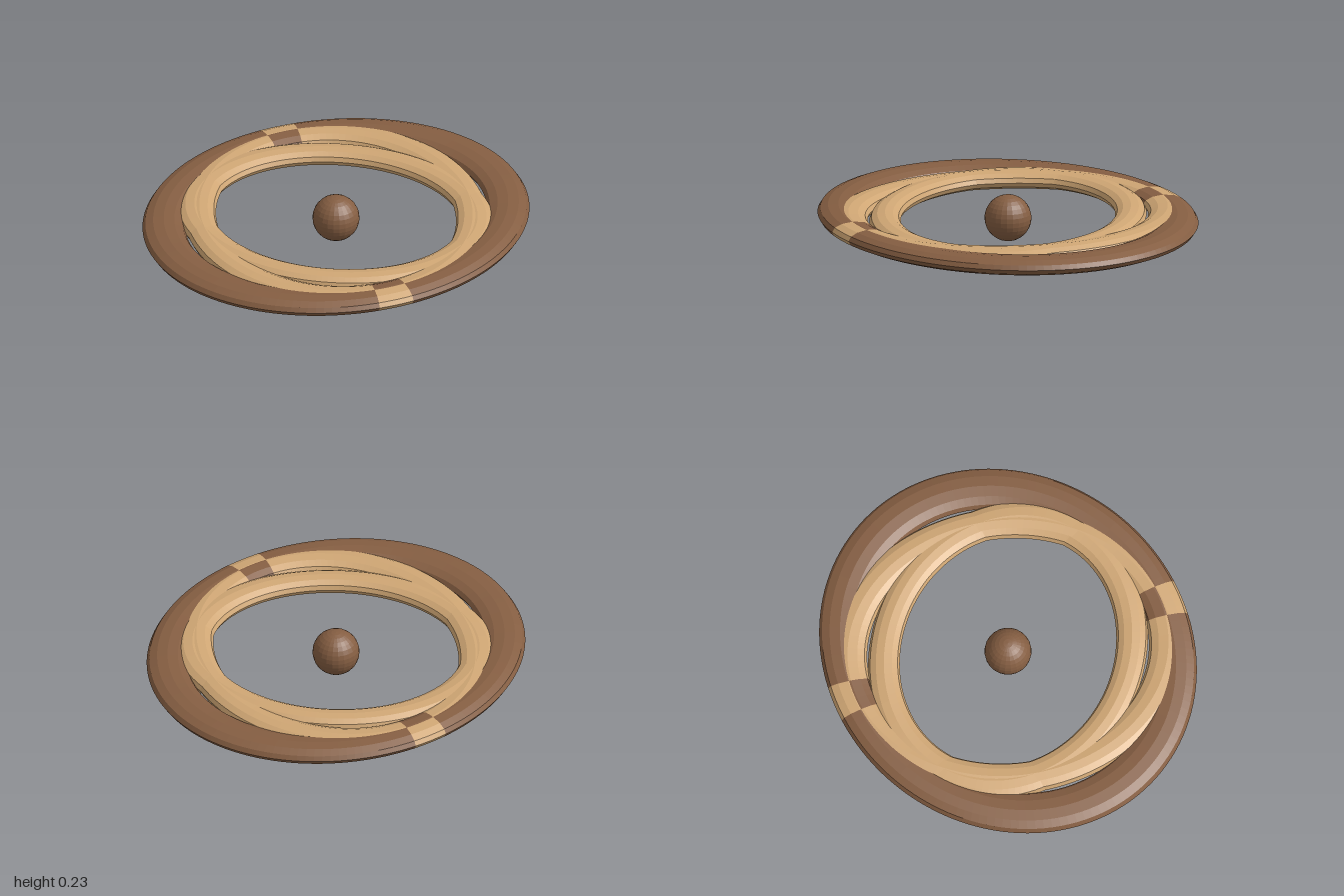
import * as THREE from 'three';

const DEG = Math.PI / 180;
const CENTER_Y = 0.117;

// Arc of an elliptical ring with a flattened oval section, between two headings in degrees.
// a, b: half axes of the centre line; rot: heading of the long axis; k: half width / radius.
function ringArc({ a, b, rot, k, h }, from, to) {
  const sides = 12;
  const steps = Math.max(4, Math.ceil((to - from) / 2.5));
  const pos = [];
  const index = [];
  for (let i = 0; i <= steps; i++) {
    const phi = (from + ((to - from) * i) / steps) * DEG;
    const psi = phi - rot * DEG;
    const r = 1 / Math.hypot(Math.cos(psi) / a, Math.sin(psi) / b);
    for (let j = 0; j <= sides; j++) {
      const u = (j / sides) * Math.PI * 2;
      const d = r * (1 + k * Math.cos(u));
      pos.push(d * Math.cos(phi), h * Math.sin(u), d * Math.sin(phi));
    }
  }
  const row = sides + 1;
  for (let i = 0; i < steps; i++) {
    for (let j = 0; j < sides; j++) {
      const p = i * row + j;
      const q = p + row;
      index.push(p, p + 1, q, p + 1, q + 1, q);
    }
  }
  const geo = new THREE.BufferGeometry();
  geo.setAttribute('position', new THREE.Float32BufferAttribute(pos, 3));
  geo.setIndex(index);
  geo.computeVertexNormals();
  return geo;
}

export function createModel() {
  const group = new THREE.Group();
  const brown = new THREE.MeshStandardMaterial({ color: 0x855e42, flatShading: true });
  brown.name = 'dark wood';
  const tan = new THREE.MeshStandardMaterial({ color: 0xcfa674, flatShading: true });
  tan.name = 'light wood';

  const add = (name, geo, material, parent = group) => {
    const mesh = new THREE.Mesh(geo, material);
    mesh.name = name;
    parent.add(mesh);
  };

  // Ring with two opposite patches in the contrasting colour
  const PATCH = [-76.3, -64.8];
  const patchedRing = (name, spec, main, accent) => {
    const ring = new THREE.Group();
    ring.name = name;
    ring.position.y = CENTER_Y + 0.003;
    for (const turn of [0, 180]) {
      add(name + 'Patch', ringArc(spec, PATCH[0] + turn, PATCH[1] + turn), accent, ring);
      add(name + 'Arc', ringArc(spec, PATCH[1] + turn, PATCH[0] + 180 + turn), main, ring);
    }
    group.add(ring);
  };

  // Three nested oval rings, each turned a further 60 degrees
  patchedRing('outerRing', { a: 0.89, b: 0.8, rot: 0, k: 0.1236, h: 0.045 }, brown, tan);
  patchedRing('middleRing', { a: 0.8, b: 0.675, rot: -61, k: 0.122, h: 0.0455 }, tan, brown);
  const inner = new THREE.Group();
  inner.name = 'innerRing';
  inner.position.y = CENTER_Y + 0.003;
  add('innerRingBody', ringArc({ a: 0.715, b: 0.602, rot: 58, k: 0.128, h: 0.045 }, 0, 360), tan, inner);
  group.add(inner);

  // Ball in the middle
  const ball = new THREE.SphereGeometry(0.117, 24, 16);
  ball.translate(0, CENTER_Y, 0);
  add('centreBall', ball, brown);

  return group;
}
